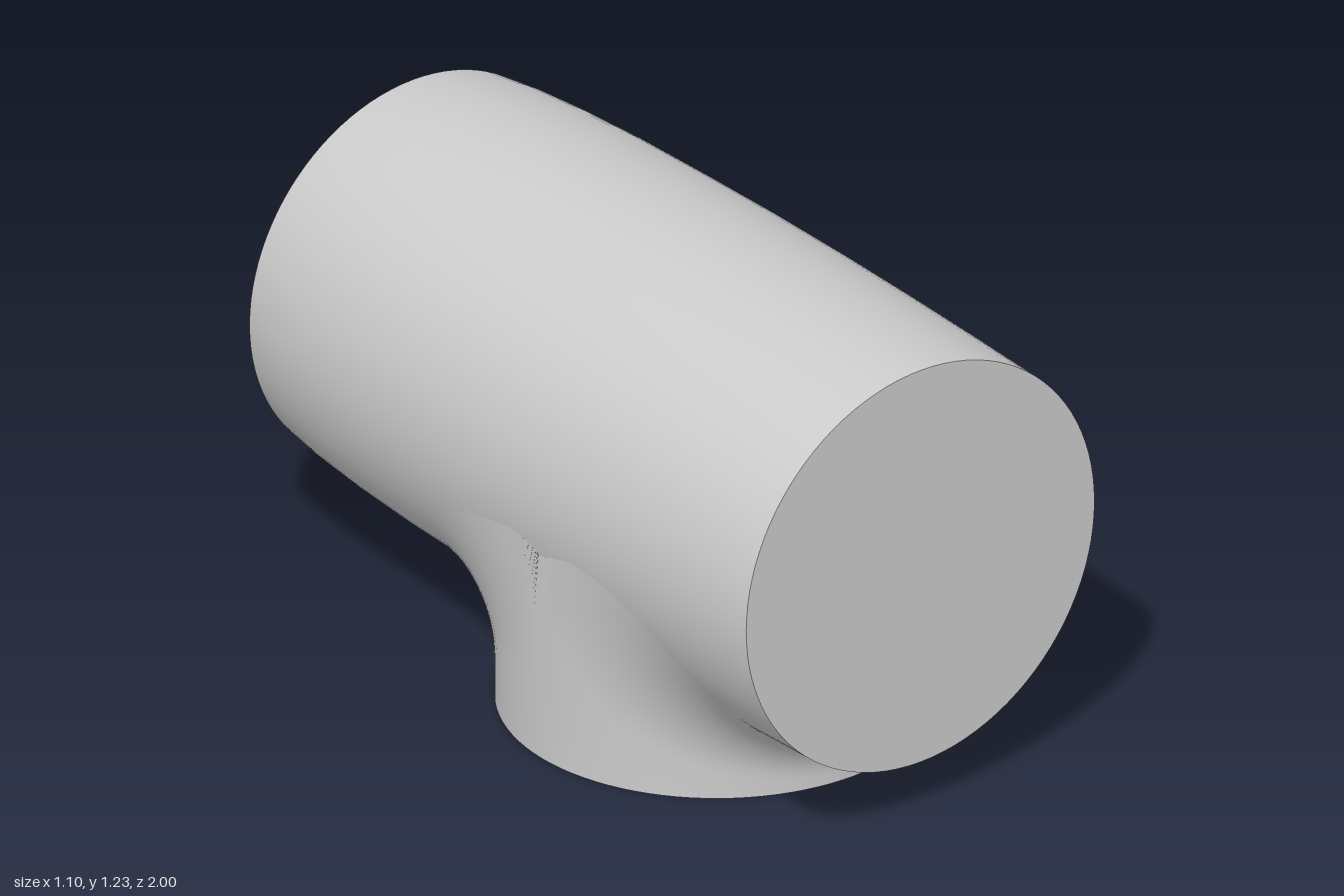
import * as THREE from 'three';
import { toCreasedNormals } from 'three/addons/utils/BufferGeometryUtils.js';

const SEG = 96;
const AXIS_Y = 0.68;   // height of the barrel axis
const BRANCH_Z = 0.21; // centre of the downward branch
const BRANCH_R = 0.535;

// Barrel profile as [radius, z], gently swelling in the middle
const PROFILE = [
  [0.535, 1], [0.542, 0.75], [0.547, 0.5], [0.55, 0.25], [0.55, 0], [0.546, -0.25],
  [0.54, -0.5], [0.53, -0.7], [0.518, -0.85], [0.503, -0.965],
];

function barrelRadius(z) {
  for (let i = 1; i < PROFILE.length; i++) {
    const [r0, z0] = PROFILE[i - 1], [r1, z1] = PROFILE[i];
    if (z >= z1) return r0 + (r1 - r0) * (z0 - z) / (z0 - z1);
  }
  return 0.503;
}

// Skin a stack of closed rings; point(row, column) gives each vertex
function loft(rows, point, crease = 0.5) {
  const positions = [], indices = [];
  for (let i = 0; i < rows; i++)
    for (let j = 0; j < SEG; j++) positions.push(...point(i, j));
  const vertex = (k) => new THREE.Vector3().fromArray(positions, k * 3);
  const triangle = (a, b, c) => {
    const p = vertex(a);
    const area = vertex(b).sub(p).cross(vertex(c).sub(p)).length();
    if (area > 1e-9) indices.push(a, b, c);
  };
  for (let i = 0; i < rows - 1; i++)
    for (let j = 0; j < SEG; j++) {
      const k = (j + 1) % SEG;
      const a = i * SEG + j, b = i * SEG + k;
      triangle(a, a + SEG, b);
      triangle(b, a + SEG, b + SEG);
    }
  const geometry = new THREE.BufferGeometry();
  geometry.setAttribute('position', new THREE.Float32BufferAttribute(positions, 3));
  geometry.setIndex(indices);
  return toCreasedNormals(geometry, crease);
}

// Ring around the barrel axis
function axisPoint(r, z, j) {
  const t = (j / SEG) * Math.PI * 2;
  return [r * Math.cos(t), AXIS_Y + r * Math.sin(t), z];
}

export function createModel() {
  const group = new THREE.Group();
  const material = new THREE.MeshStandardMaterial({ color: 0xcccccc });
  const add = (name, geometry) => {
    const mesh = new THREE.Mesh(geometry, material);
    mesh.name = name;
    group.add(mesh);
  };

  // Barrel with its flat front face
  const barrel = [[0, 1], ...PROFILE];
  add('barrel', loft(barrel.length, (i, j) => axisPoint(...barrel[i], j)));

  // Back end: rounded rim, thin groove and four chamfered pockets
  // Each row: radius, radius inside the pockets, z
  const end = [
    [0.503, 0.503, -0.965], [0.487, 0.487, -0.981], [0.465, 0.465, -0.989],
    [0.435, 0.435, -0.995], [0.405, 0.405, -0.999],
    [0.357, 0.385, -1], [0.353, 0.368, -0.972],
    [0.347, 0.31, -0.972], [0.343, 0.29, -0.998], [0, 0, -0.998],
  ];
  add('backEndCap', loft(end.length, (i, j) => {
    const [r, pocket, z] = end[i];
    const quarter = SEG / 4;
    const offset = Math.abs((j % quarter) - quarter / 2); // columns from the diagonal
    return axisPoint(offset <= 3 ? pocket : r, z, j);
  }, 0.4));

  // Branch: round foot blended into the barrel by a quarter-arc fillet
  const ARC = 12;
  add('branch', loft(ARC + 3, (i, j) => {
    const t = (j / SEG) * Math.PI * 2;
    const c = Math.cos(t), s = Math.sin(t);
    if (i === 0) return [0, 0, BRANCH_Z];
    if (i === 1) return [BRANCH_R * c, 0, BRANCH_Z + BRANCH_R * s];
    const side = Math.abs(s) < 1e-6 ? 0 : Math.sign(s);
    const reach = side ? 0.65 * Math.abs(s) ** 0.3 : 0;
    const touchR = barrelRadius(BRANCH_Z + side * reach);
    const foot = BRANCH_R * Math.abs(s);
    const leg = reach - foot;
    const f = (i - 2) / ARC, a = f * Math.PI / 2;
    const top = AXIS_Y - touchR * Math.abs(s);
    return [
      (BRANCH_R + (touchR - BRANCH_R) * f) * c,
      Math.max(0.01, top - leg * (1 - Math.sin(a))),
      BRANCH_Z + side * (reach - leg * Math.cos(a)),
    ];
  }, 0.8));

  return group;
}
